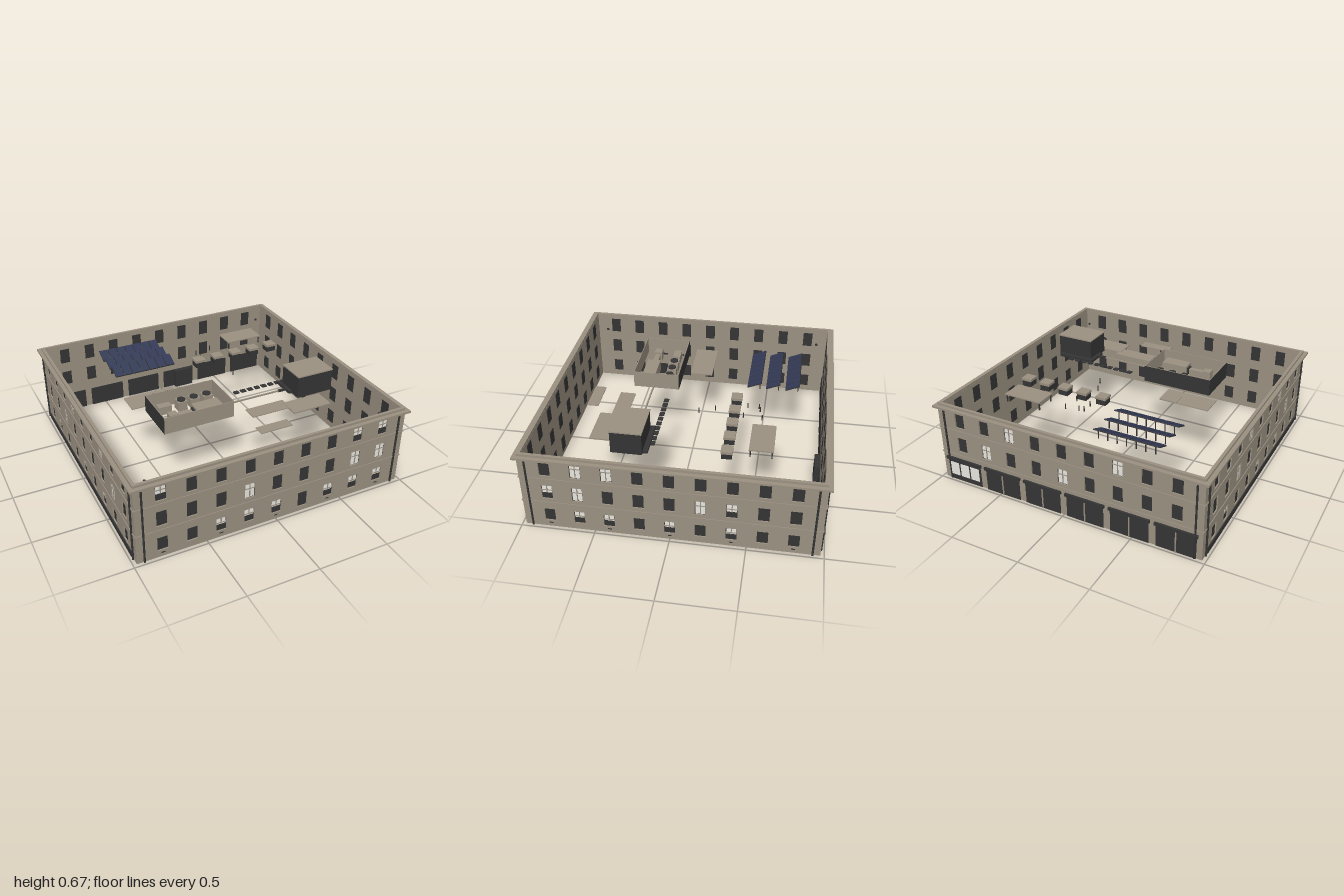
import * as THREE from 'three';

const mat = (name, color) => Object.assign(new THREE.MeshStandardMaterial({ color }), { name });

export function createModel() {
  const stone = mat('stone', 0x9a9081);
  const dark = mat('dark', 0x343434);
  const pale = mat('pale glass', 0xf4f2ec);
  const solar = mat('solar blue', 0x323955);
  const model = new THREE.Group();
  model.name = 'courtyardBuilding';

  const add = (parent, name, geo, material, x = 0, y = 0, z = 0) => {
    const m = new THREE.Mesh(geo, material);
    m.name = name;
    m.position.set(x, y, z);
    parent.add(m);
    return m;
  };
  // box given by its limits on each axis
  const box = (parent, name, material, x0, x1, y0, y1, z0, z1) =>
    add(parent, name, new THREE.BoxGeometry(x1 - x0, y1 - y0, z1 - z0), material,
      (x0 + x1) / 2, (y0 + y1) / 2, (z0 + z1) / 2);
  const rect = (target, x0, x1, y0, y1) => {
    target.moveTo(x0, y0);
    target.lineTo(x1, y0);
    target.lineTo(x1, y1);
    target.lineTo(x0, y1);
    target.closePath();
    return target;
  };
  // square band running round the whole building
  const ring = (name, material, outer, inner, y0, y1) => {
    const s = rect(new THREE.Shape(), -outer, outer, -outer, outer);
    s.holes.push(rect(new THREE.Path(), -inner, inner, -inner, inner));
    const g = new THREE.ExtrudeGeometry(s, { depth: y1 - y0, bevelEnabled: false });
    g.rotateX(-Math.PI / 2);
    add(model, name, g, material, 0, y0, 0);
  };

  // Walls, each built facing +z and then turned.
  // Rows go from top to bottom; l = pale pane, h = pale upper half, d = door
  const levels = [[0.43, 0.545], [0.24, 0.35], [0.05, 0.15]];
  const buildWall = (name, turn, half, rows) => {
    const wall = new THREE.Group();
    wall.name = name;
    wall.rotation.y = turn;
    model.add(wall);
    const shape = rect(new THREE.Shape(), -half, half, 0, 0.56);
    rows.forEach((row, r) => [...row].forEach((kind, c) => {
      const x = -0.8 + c * 0.2, w = 0.036;
      const y1 = levels[r][1], y0 = kind === 'd' ? 0.035 : levels[r][0];
      shape.holes.push(rect(new THREE.Path(), x - w, x + w, y0, y1));
      box(wall, kind === 'd' ? 'door' : 'window', dark, x - w, x + w, y0, y1, 0.948, 0.966);
      if (kind === 'l' || kind === 'h') {
        const low = kind === 'l' ? y0 + 0.004 : y0 + 0.048;
        box(wall, 'palePane', pale, x - w + 0.004, x + w - 0.004, low, y1 - 0.004, 0.966, 0.968);
        box(wall, 'mullion', stone, x - 0.003, x + 0.003, low, y1, 0.967, 0.972);
        box(wall, 'transom', stone, x - w, x + w, y1 - 0.042, y1 - 0.037, 0.967, 0.972);
      }
      if (r === 2 && c % 2 === 0)
        box(wall, 'cellarVent', dark, x - 0.012, x + 0.012, 0.028, 0.034, 0.974, 0.978);
    }));
    add(wall, 'wallBody', new THREE.ExtrudeGeometry(shape, { depth: 0.024, bevelEnabled: false }),
      stone, 0, 0, 0.951);
    for (const s of [-1, 1])
      add(wall, 'downpipe', new THREE.CylinderGeometry(0.007, 0.007, 0.55, 8), dark, s * 0.925, 0.275, 0.98);
    return wall;
  };
  buildWall('frontWall', 0, 0.975, ['h......hh', '...l...ll', '..hhhdhhh']);
  buildWall('sideWallPlusX', Math.PI / 2, 0.951, ['.ll......', 'hl...lh..', '.hh.h.h..']);
  const back = buildWall('backWall', Math.PI, 0.975, ['..l...l..', '.l..l....']);
  const left = buildWall('sideWallMinusX', -Math.PI / 2, 0.951, ['...l..l..', '..l....l.', '.h..h.h..']);
  box(left, 'darkPlinth', dark, -0.9, 0.9, 0, 0.04, 0.974, 0.982);

  // Shop fronts along the ground floor of the back
  for (let i = 0; i < 6; i++) {
    const x = -0.8 + i * 0.32;
    box(back, 'shopFront', dark, x - 0.135, x + 0.135, 0, 0.15, 0.945, 0.98);
    box(back, 'shopFascia', dark, x - 0.145, x + 0.145, 0.16, 0.18, 0.974, 0.99);
    if (i === 0) {
      for (let k = -1; k <= 1; k++)
        box(back, 'shopGlass', pale, x + k * 0.085 - 0.036, x + k * 0.085 + 0.036, 0.04, 0.14, 0.98, 0.983);
    } else {
      box(back, 'shopPier', stone, x - 0.004, x + 0.004, 0, 0.15, 0.98, 0.986);
    }
  }
  box(model, 'entranceLobby', dark, 0.12, 0.275, 0, 0.15, -0.955, -0.91);

  // Bands, gutter, cornice and parapet
  ring('lowerCourse', stone, 0.98, 0.97, 0.205, 0.213);
  ring('upperCourse', stone, 0.98, 0.97, 0.401, 0.409);
  ring('gutter', dark, 0.983, 0.97, 0.546, 0.555);
  ring('cornice', stone, 1, 0.95, 0.555, 0.57);
  ring('parapet', stone, 0.972, 0.951, 0.57, 0.586);

  // Roof equipment
  const R = 0.5;
  const roof = new THREE.Group();
  roof.name = 'roofEquipment';
  model.add(roof);

  // Penthouse
  box(roof, 'penthouse', dark, 0.48, 0.757, R, 0.658, 0.213, 0.422);
  box(roof, 'penthouseRoof', stone, 0.476, 0.76, 0.658, 0.667, 0.21, 0.425);
  box(roof, 'penthouseBackStep', dark, 0.455, 0.737, R, 0.52, 0.18, 0.213);
  box(roof, 'penthouseSideStep', dark, 0.455, 0.48, R, 0.52, 0.18, 0.345);

  // Flat roof pads
  [[-0.625, -0.39, -0.105, 0.06], [-0.39, -0.26, -0.105, 0.055], [0.07, 0.365, 0.405, 0.515],
    [0.345, 0.64, 0.445, 0.595], [0.02, 0.26, 0.635, 0.715]].forEach(([a, b, c, d], i) =>
    box(roof, 'roofPad', stone, a, b, R, R + 0.006 + (i % 2) * 0.003, c, d));

  // Raised canopy
  box(roof, 'canopy', stone, 0.39, 0.675, 0.553, 0.562, -0.625, -0.465);
  for (const x of [0.4, 0.665]) for (const z of [-0.615, -0.475])
    box(roof, 'canopyPost', dark, x - 0.004, x + 0.004, R, 0.553, z - 0.004, z + 0.004);

  // Solar panels
  for (const z of [-0.71, -0.57, -0.435]) for (let i = 0; i < 7; i++) {
    const x = -0.546 + i * 0.0675;
    const p = new THREE.Group();
    p.name = 'solarPanel';
    p.position.set(x, 0.545, z);
    p.rotation.x = 0.4;
    roof.add(p);
    box(p, 'panelFrame', dark, -0.032, 0.032, -0.005, 0.002, -0.054, 0.054);
    box(p, 'panelCells', solar, -0.03, 0.03, 0.002, 0.004, -0.052, 0.052);
    box(roof, 'panelLeg', dark, x - 0.003, x + 0.003, R, 0.555, z - 0.042, z - 0.036);
  }

  // Row of vent boxes
  for (let i = 0; i < 5; i++) {
    const x = 0.065 + i * 0.1535;
    box(roof, 'ventBase', dark, x - 0.036, x + 0.036, R, 0.54, -0.362, -0.293);
    box(roof, 'ventCap', stone, x - 0.04, x + 0.04, 0.54, 0.558, -0.366, -0.289);
  }
  // Walkway slabs and duct
  for (let i = 0; i < 10; i++)
    box(roof, 'walkwaySlab', dark, 0.105 + i * 0.056, 0.142 + i * 0.056, R, R + 0.008, 0.153, 0.187);
  box(roof, 'pipeRun', stone, -0.037, 0.4, R + 0.008, R + 0.018, 0.29, 0.3);
  box(roof, 'pipeEnd', dark, 0.395, 0.46, R + 0.006, R + 0.02, 0.286, 0.304);

  // Screened plant enclosure
  const [x0, x1, z0, z1] = [-0.545, -0.037, 0.11, 0.44];
  box(roof, 'screenFront', stone, x0, x1, R, 0.62, z1 - 0.005, z1);
  box(roof, 'screenBack', stone, x0, x1, R, 0.62, z0, z0 + 0.005);
  box(roof, 'screenSide', stone, x0, x0 + 0.005, R, 0.62, z0, z1);
  box(roof, 'screenSide', stone, x1 - 0.005, x1, R, 0.62, z0, z1);
  box(roof, 'screenBackLining', dark, x0, x1, R, 0.619, z0 - 0.002, z0);
  box(roof, 'screenSideLining', dark, x0 - 0.002, x0, R, 0.619, z0, z1);
  box(roof, 'controlBox', stone, -0.49, -0.395, R, 0.56, 0.16, 0.215);
  for (const x of [-0.315, -0.22, -0.122]) {
    box(roof, 'condenser', stone, x - 0.034, x + 0.034, R, 0.57, 0.156, 0.224);
    add(roof, 'fan', new THREE.CylinderGeometry(0.029, 0.029, 0.008, 16), dark, x, 0.574, 0.19);
  }
  box(roof, 'airHandler', stone, -0.285, -0.095, R, 0.585, 0.29, 0.385);
  box(roof, 'airHandlerCollar', dark, -0.3, -0.285, R + 0.01, 0.57, 0.31, 0.356);
  box(roof, 'airDuct', stone, -0.42, -0.3, R + 0.02, 0.56, 0.315, 0.352);
  box(roof, 'ductElbow', stone, -0.47, -0.41, R, 0.575, 0.305, 0.36);

  // Roof drains and thin vent pipes
  for (const x of [-0.85, 0.865]) for (const z of [-0.87, 0.845])
    add(roof, 'drain', new THREE.CylinderGeometry(0.009, 0.009, 0.012, 10), dark, x, R, z);
  for (const [x, z] of [[0.12, -0.49], [0.155, -0.5], [0.25, -0.52], [0.12, -0.41], [0.24, -0.39], [0.185, -0.19], [0.23, -0.08]])
    add(roof, 'ventPipe', new THREE.CylinderGeometry(0.004, 0.004, 0.04, 8), dark, x, R + 0.02, z);

  return model;
}
